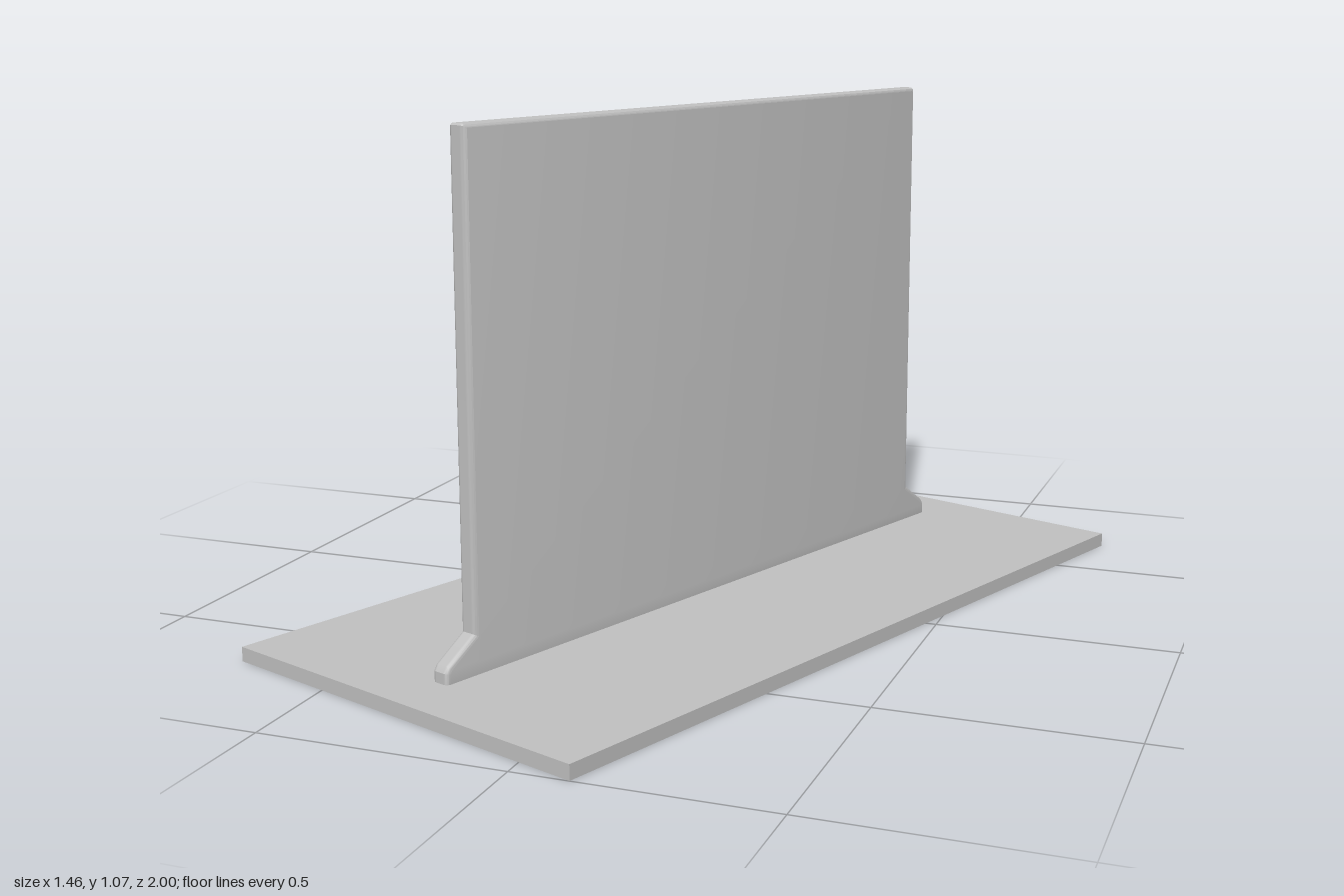
import * as THREE from 'three';
import { toCreasedNormals } from 'three/addons/utils/BufferGeometryUtils.js';

export function createModel() {
  const model = new THREE.Group();
  model.name = 'panelStand';
  const grey = new THREE.MeshStandardMaterial({ color: 0xc0c0c0 });
  grey.name = 'light grey';

  // Flat rectangular base plate
  const base = new THREE.Mesh(new THREE.BoxGeometry(0.9, 0.03, 1.8), grey);
  base.name = 'basePlate';
  base.position.y = 0.015;
  model.add(base);

  // Upright panel with flared feet: half outline mirrored, then bevelled
  const half = [
    [0.785, 0.015], [0.785, 0.052], [0.778, 0.064],
    [0.711, 0.11], [0.711, 1.066], [0.707, 1.07],
  ];
  const outline = [...half, ...half.map(([x, y]) => [-x, y]).reverse()];
  const shape = new THREE.Shape(outline.map(([x, y]) => new THREE.Vector2(x, y)));
  const thickness = 0.04, bevel = 0.01;
  const geometry = new THREE.ExtrudeGeometry(shape, {
    depth: thickness - 2 * bevel,
    bevelEnabled: true,
    bevelThickness: bevel,
    bevelSize: bevel,
    bevelOffset: -bevel,
    bevelSegments: 4,
  });
  geometry.translate(0, 0, bevel - thickness / 2);
  geometry.rotateY(-Math.PI / 2);
  const panel = new THREE.Mesh(toCreasedNormals(geometry, 0.5), grey);
  panel.name = 'uprightPanel';
  model.add(panel);

  // The whole stand is turned about the vertical axis
  model.rotation.y = THREE.MathUtils.degToRad(-20);
  const root = new THREE.Group();
  root.name = 'model';
  root.add(model);
  return root;
}
